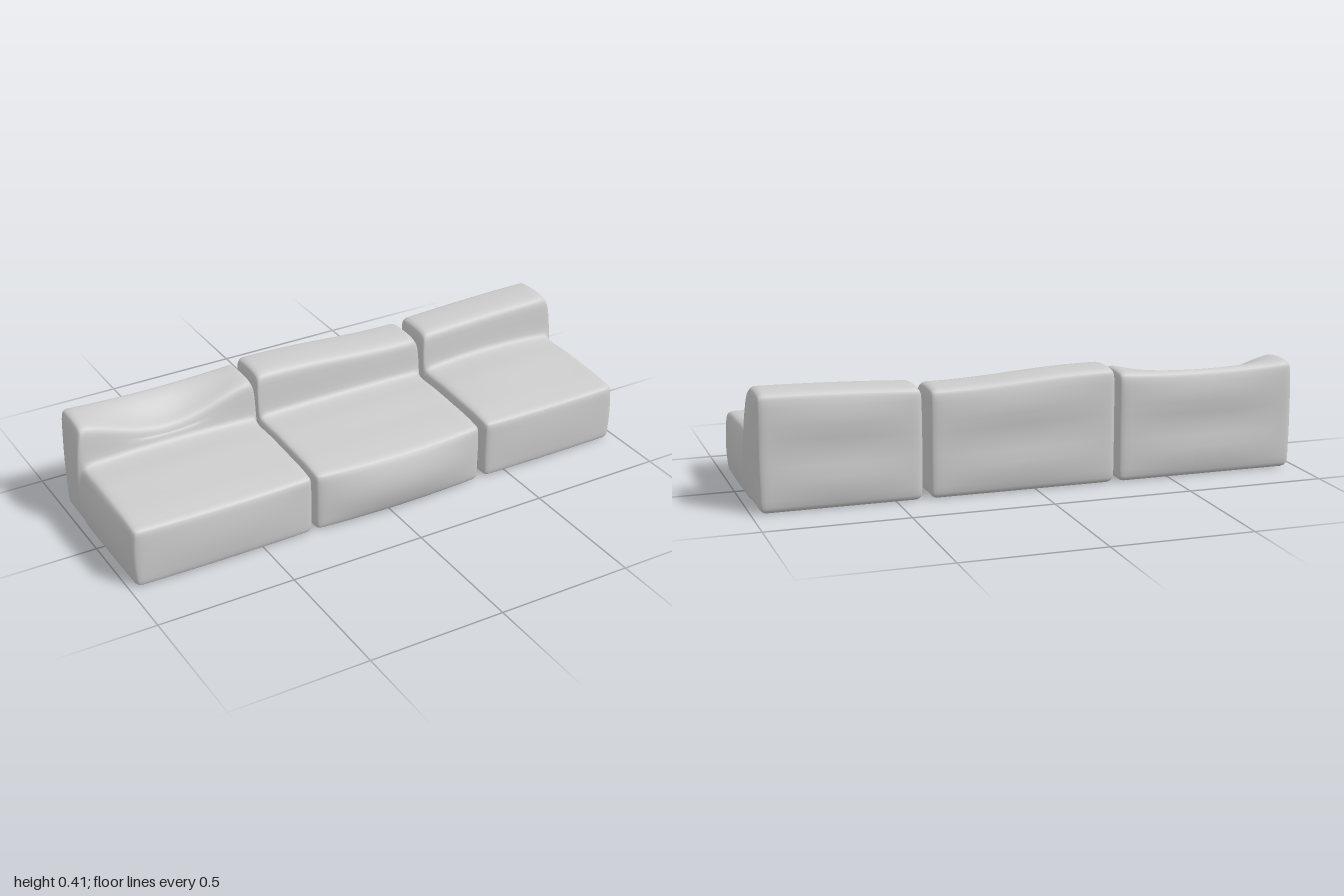
import * as THREE from 'three';
import { mergeVertices } from 'three/addons/utils/BufferGeometryUtils.js';

const { smoothstep, clamp } = THREE.MathUtils;

// Upper outline of a section from seat front to the back of the backrest (z, y)
const outline = new THREE.CatmullRomCurve3([
  [0.285, 0.226], [0.2, 0.238], [0.1, 0.243], [0, 0.248], [-0.1, 0.248],
  [-0.128, 0.254], [-0.135, 0.28], [-0.144, 0.36], [-0.15, 0.387],
  [-0.168, 0.398], [-0.24, 0.404], [-0.317, 0.398],
].map(([z, y]) => new THREE.Vector3(0, y, z)), false, 'centripetal');

const LENGTH = outline.getLength();
const HEIGHT = 0.25;
const ROUND = 0.022;

// Rounds one vertex of a box surface
function roundCorner(p, half) {
  const inner = p.clone().clamp(
    half.clone().negate().addScalar(ROUND), half.clone().subScalar(ROUND));
  const d = p.clone().sub(inner);
  return inner.add(d.setLength(ROUND));
}

// A soft box bent along the outline, then puffed out and creased by rules
function makeSection(s) {
  const half = new THREE.Vector3((s.x1 - s.x0) / 2, HEIGHT / 2, LENGTH / 2);
  let geo = new THREE.BoxGeometry(2, 2, 2, 24, 14, 48);
  geo.deleteAttribute('normal');
  geo.deleteAttribute('uv');
  geo = mergeVertices(geo, 1e-4);
  const pos = geo.attributes.position;
  const p = new THREE.Vector3();
  const ease = (a) => Math.sin(a * Math.PI / 2);
  for (let i = 0; i < pos.count; i++) {
    p.fromBufferAttribute(pos, i);
    p.set(ease(p.x), ease(p.y), 0.6 * p.z + 0.4 * ease(p.z)).multiply(half);
    const q = roundCorner(p, half);
    const t = q.x / half.x;
    const v = q.y / HEIGHT + 0.5;
    const top = outline.getPointAt(clamp(0.5 - q.z / LENGTH, 0, 1));
    const mid = 1 - t * t;
    const belly = Math.sin(Math.PI * clamp(v, 0, 1));
    const onBack = smoothstep(top.y, 0.26, 0.385);

    // sagging lip, uneven backrest top and crowned seat
    const lip = onBack * (1 - smoothstep(-top.z, 0.17, 0.3));
    const seat = (1 - onBack) * (1 - smoothstep(top.z, 0.0, 0.27));
    const y = top.y + onBack * s.top(t) - lip * s.sag * mid * mid + seat * s.crown * mid;

    // puffed front, back and sides
    const front = smoothstep(top.z, 0.1, 0.285);
    const back = smoothstep(-top.z, 0.22, 0.317);
    const z = top.z + front * s.puff * mid * (0.3 + 0.7 * belly)
      - back * 0.011 * mid * (0.5 + 0.5 * Math.cos(v * Math.PI * 4 - Math.PI));
    const depth = 1 - (z / 0.33) ** 2;
    const side = t < 0 ? -s.left : s.right;
    const x = (s.x0 + s.x1) / 2 + q.x + side * Math.abs(t) ** 3 * belly * Math.max(depth, 0);
    pos.setXYZ(i, x, 0.005 + v * (y - 0.005), z);
  }
  geo.computeVertexNormals();
  return geo;
}

export function createModel() {
  const group = new THREE.Group();
  group.name = 'sectionalSofa';
  const material = new THREE.MeshStandardMaterial({ color: 0xcccccc, roughness: 0.9 });

  const sections = [
    { name: 'rightSection', x0: -0.974, x1: -0.306, left: 0.026, right: 0.006,
      puff: 0.014, sag: 0.065, crown: 0.009, top: (t) => -0.012 * (1 - t * t) },
    { name: 'middleSection', x0: -0.292, x1: 0.381, left: 0.005, right: 0.008,
      puff: 0.04, sag: 0, crown: 0.004,
      top: (t) => 0.002 - 0.01 * t + 0.006 * Math.cos((t + 0.6) * 2.5) },
    { name: 'leftSection', x0: 0.408, x1: 0.972, left: 0.01, right: 0.022,
      puff: 0.009, sag: 0, crown: 0.016,
      top: (t) => 0.005 + 0.009 * t + 0.004 * (1 - t * t) },
  ];

  for (const s of sections) {
    const mesh = new THREE.Mesh(makeSection(s), material);
    mesh.name = s.name;
    group.add(mesh);
  }
  return group;
}
